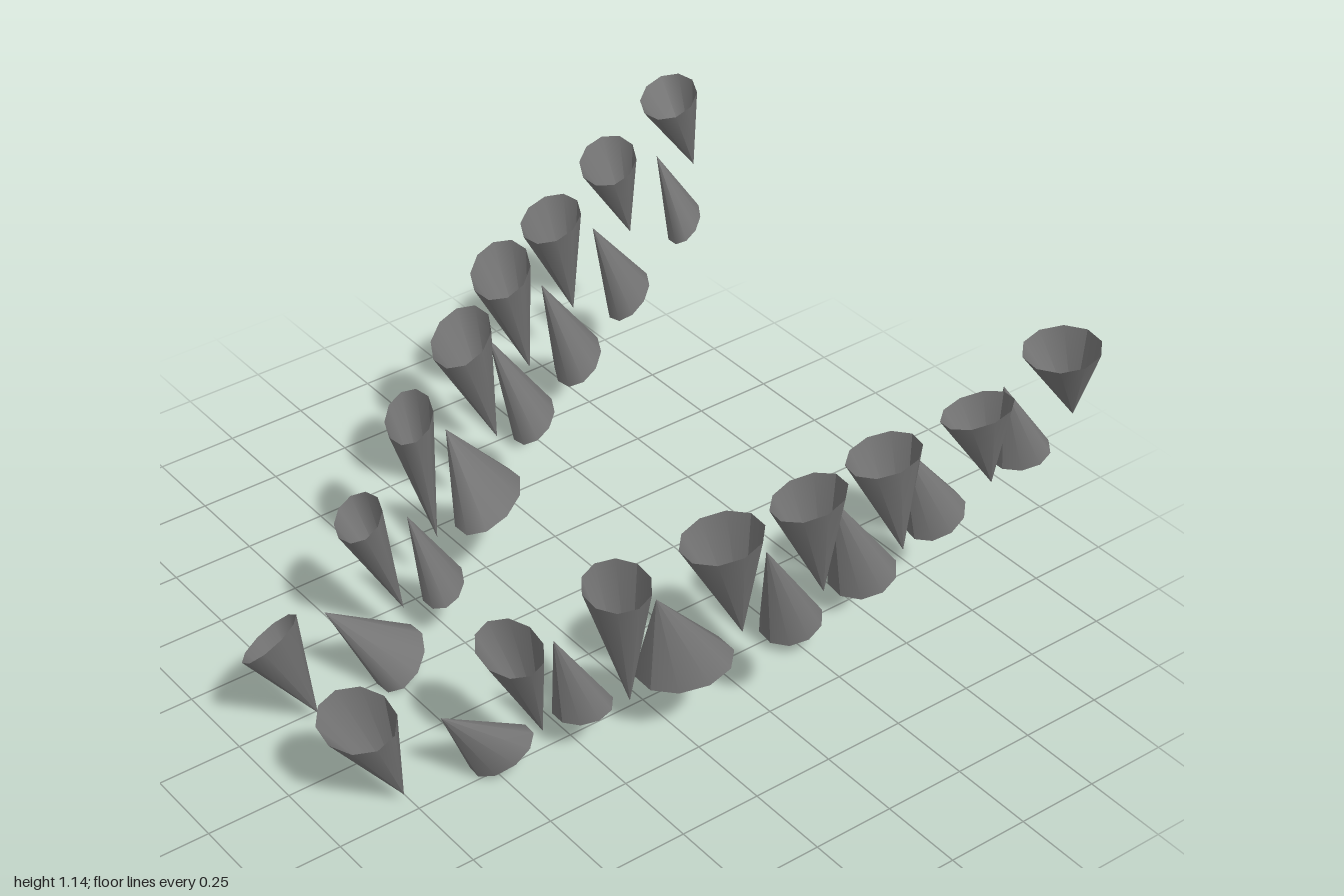
import * as THREE from 'three';

// Each tooth: tip x,y,z | base centre x,y,z | base radii x,z | slope of the base plane along x,z | skew of the base ring
const UPPER = [
  [0.21, 0.035, 0.77, 0.21, 0.36, 0.905, 0.085, 0.088, -0.5, -0.45, -0.45],
  [0.33, 0.15, 0.40, 0.353, 0.505, 0.52, 0.103, 0.066, -0.15, -0.6, -0.2],
  [0.45, 0.235, 0.20, 0.473, 0.665, 0.265, 0.102, 0.067, 0, -0.62, -0.2],
  [0.56, 0.40, -0.09, 0.583, 0.77, 0.01, 0.104, 0.095, 0.1, -0.4, -0.25],
  [0.66, 0.51, -0.28, 0.678, 0.865, -0.195, 0.098, 0.09, 0.2, -0.4, -0.15],
  [0.73, 0.595, -0.49, 0.723, 0.935, -0.405, 0.09, 0.095, 0.1, -0.28, -0.15],
  [0.785, 0.738, -0.74, 0.79, 1.005, -0.66, 0.087, 0.09, 0.25, -0.25, -0.15],
  [0.81, 0.866, -0.995, 0.828, 1.115, -0.91, 0.1, 0.088, 0.02, -0.3, -0.2],
];
const LOWER = [
  [0.277, 0.305, 0.69, 0.245, 0.06, 0.475, 0.08, 0.078, 0.3, -0.67, -0.2],
  [0.34, 0.45, 0.37, 0.33, 0.172, 0.268, 0.082, 0.067, 0.1, -0.4, -0.25],
  [0.48, 0.567, 0.14, 0.455, 0.278, 0.02, 0.108, 0.115, 0, -0.32, -0.4],
  [0.62, 0.695, -0.11, 0.585, 0.385, -0.235, 0.083, 0.068, 0, -0.64, -0.25],
  [0.64, 0.79, -0.31, 0.635, 0.487, -0.435, 0.092, 0.072, 0, -0.66, -0.25],
  [0.67, 0.89, -0.515, 0.675, 0.605, -0.65, 0.075, 0.068, 0, -0.74, -0.25],
  [0.74, 0.995, -0.80, 0.725, 0.743, -0.893, 0.076, 0.056, 0, -0.68, -0.4],
];

const material = new THREE.MeshStandardMaterial({ color: 0x777777, side: THREE.DoubleSide });

// Open cone whose tip and tilted base ring are placed freely
function tooth([tx, ty, tz, cx, cy, cz, rx, rz, sx, sz, skew], side, turn) {
  const geo = new THREE.ConeGeometry(1, 1, 10, 1, true);
  const pos = geo.attributes.position;
  for (let i = 0; i < pos.count; i++) {
    if (pos.getY(i) > 0) {
      pos.setXYZ(i, side * tx, ty, tz);
    } else {
      const dx = rx * pos.getX(i);
      const dz = rz * turn * pos.getZ(i); // turn keeps the faces outward on hanging teeth
      pos.setXYZ(i, side * cx + dx, cy + side * sx * dx + sz * dz, cz + dz + side * skew * dx);
    }
  }
  geo.computeVertexNormals();
  return new THREE.Mesh(geo, material);
}

export function createModel() {
  const model = new THREE.Group();
  model.name = 'teeth';
  for (const [rowName, rows, turn] of [['upper', UPPER, -1], ['lower', LOWER, 1]]) {
    for (const [sideName, side] of [['Left', 1], ['Right', -1]]) {
      const row = new THREE.Group();
      row.name = `${rowName}${sideName}Row`;
      rows.forEach((data, i) => {
        const mesh = tooth(data, side, turn);
        mesh.name = `${rowName}${sideName}Tooth${i + 1}`;
        row.add(mesh);
      });
      model.add(row);
    }
  }
  return model;
}
